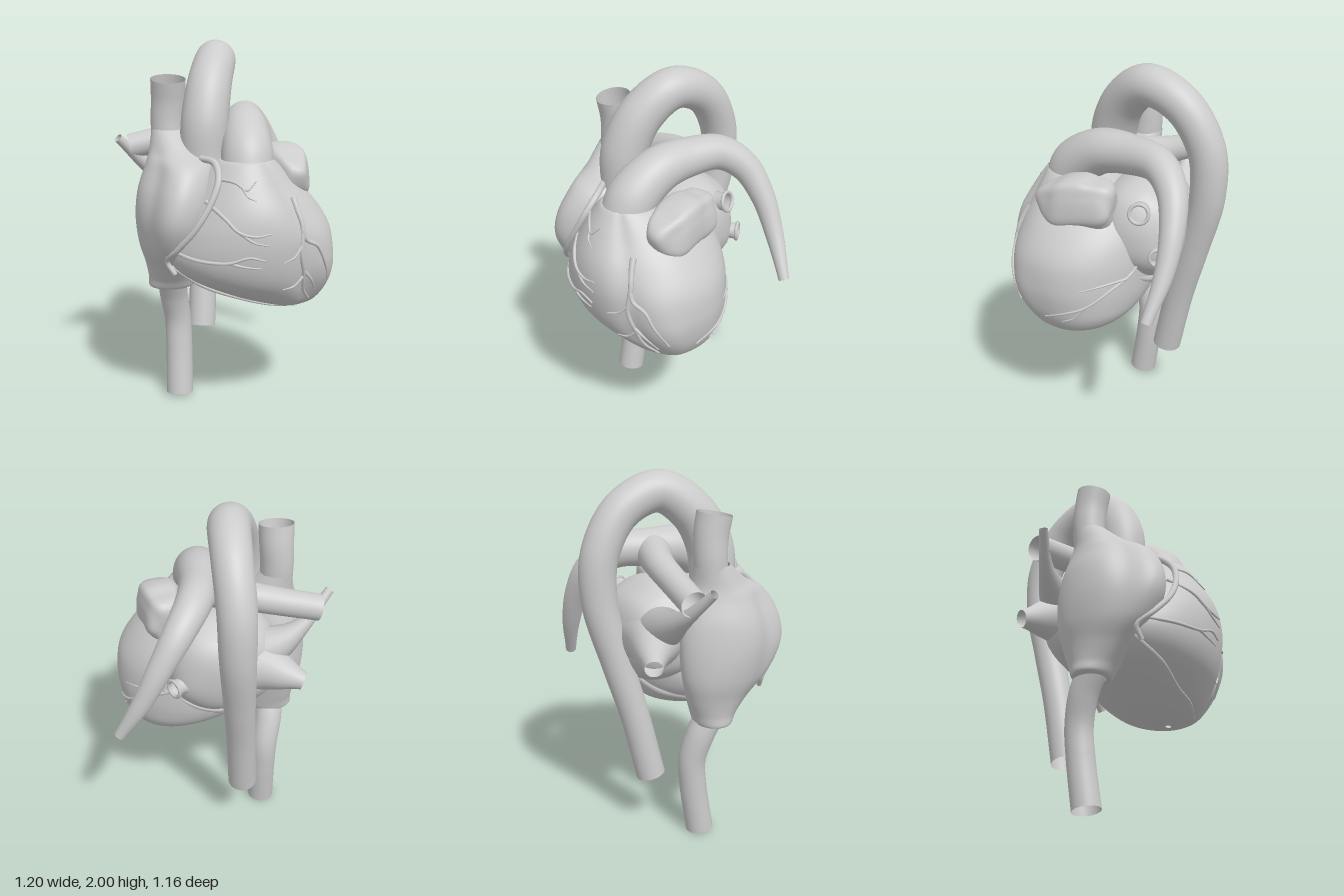
import * as THREE from 'three';

const mat = new THREE.MeshStandardMaterial({ color: 0xcccccc, side: THREE.DoubleSide });
const V = (x, y, z) => new THREE.Vector3(x, y, z);

// smooth interpolation through rows of numbers, t in 0..1
function sample(rows, t) {
  const f = Math.min(Math.max(t, 0), 1) * (rows.length - 1);
  const i = Math.min(Math.floor(f), rows.length - 2), k = f - i;
  const at = j => rows[Math.min(Math.max(j, 0), rows.length - 1)];
  return rows[0].map((_, c) => {
    const a = at(i - 1)[c], b = at(i)[c], d = at(i + 1)[c], e = at(i + 2)[c];
    return b + 0.5 * k * (d - a + k * (2 * a - 5 * b + 4 * d - e + k * (3 * (b - d) + e - a)));
  });
}

// point on an elliptical section [y, xMin, xMax, zMin, zMax]
function sectionPoint([y, x0, x1, z0, z1], angle, scale = 1) {
  return V((x0 + x1) / 2 + (x1 - x0) / 2 * Math.cos(angle) * scale, y,
    (z0 + z1) / 2 + (z1 - z0) / 2 * Math.sin(angle) * scale);
}

// skin over sections listed from bottom to top
function loft(rows, scaleAt, rings = 80, sides = 96) {
  const pos = [], index = [];
  for (let i = 0; i <= rings; i++) {
    const row = sample(rows, i / rings);
    for (let j = 0; j < sides; j++) {
      const a = j / sides * Math.PI * 2;
      pos.push(...sectionPoint(row, a, scaleAt(a, row[0])).toArray());
      if (i === rings) continue;
      const p = i * sides + j, q = i * sides + (j + 1) % sides;
      index.push(p, p + sides, q, q, p + sides, q + sides);
    }
  }
  const g = new THREE.BufferGeometry();
  g.setAttribute('position', new THREE.Float32BufferAttribute(pos, 3));
  g.setIndex(index);
  g.computeVertexNormals();
  return g;
}

// open tube through [x, y, z, radius] points
function vessel(points, seg = 64, sides = 32) {
  const curve = new THREE.CatmullRomCurve3(points.map(p => V(p[0], p[1], p[2])));
  const g = new THREE.TubeGeometry(curve, seg, 1, sides);
  const pos = g.attributes.position, v = V(0, 0, 0);
  const radii = points.map(p => [p[3]]);
  for (let i = 0; i <= seg; i++) {
    const c = curve.getPointAt(i / seg);
    const r = sample(radii, curve.getUtoTmapping(i / seg))[0];
    for (let j = 0; j <= sides; j++) {
      const n = i * (sides + 1) + j;
      v.fromBufferAttribute(pos, n).sub(c).multiplyScalar(r).add(c);
      pos.setXYZ(n, v.x, v.y, v.z);
    }
  }
  g.computeBoundingSphere();
  return g;
}

// squarish ellipsoid with soft lumps
function blob(radii, lump, squareness) {
  const g = new THREE.SphereGeometry(1, 48, 32);
  const pos = g.attributes.position, v = V(0, 0, 0);
  const sq = n => Math.sign(n) * Math.pow(Math.abs(n), squareness);
  for (let i = 0; i < pos.count; i++) {
    v.fromBufferAttribute(pos, i);
    const s = 1 + lump * Math.sin(5 * v.x + 1) * Math.sin(6 * v.y) + lump * Math.sin(7 * v.z + 2 * v.y);
    pos.setXYZ(i, radii[0] * s * sq(v.x), radii[1] * s * sq(v.y), radii[2] * s * sq(v.z));
  }
  g.computeVertexNormals();
  return g;
}

const VENTRICLES = [
  [0.595, 0.27, 0.31, 0.16, 0.19], [0.605, 0.17, 0.385, 0.06, 0.28], [0.64, 0.04, 0.445, -0.06, 0.37],
  [0.71, -0.15, 0.49, -0.15, 0.45], [0.8, -0.32, 0.515, -0.2, 0.52], [0.91, -0.39, 0.525, -0.22, 0.56],
  [1.05, -0.36, 0.505, -0.22, 0.575], [1.18, -0.29, 0.425, -0.2, 0.555], [1.31, -0.21, 0.3, -0.12, 0.49],
  [1.4, -0.12, 0.2, 0.08, 0.43], [1.42, -0.08, 0.17, 0.14, 0.41]];
const bell = (x, mid, width) => Math.exp(-(((x - mid) / width) ** 2));
// groove between the two ventricles, and the swell of the left one beside it
const ventricleShape = (a, y) => 1 + 0.085 * bell(a, 0.62, 0.3) * bell(y, 0.8, 0.22)
  - 0.05 * bell(a, 1.03, 0.17) * Math.min(1, Math.max(0, (y - 0.6) * 6))
  - 0.05 * bell(a, 0.8, 0.3) * bell(y, 1.2, 0.13);
// flattened outer front corner and soft lumps
const atriumShape = (a, y) => 1 + (0.012 * Math.sin(5 * a + 9 * y)
  - (0.16 + 0.12 * bell(y, 1.38, 0.13)) * bell(a, 2.5, 0.45)) * Math.max(0, Math.sin((y - 0.68) / 0.87 * Math.PI));

function rowAtHeight(y) {
  let lo = 0, hi = 1;
  for (let i = 0; i < 30; i++) {
    const m = (lo + hi) / 2;
    if (sample(VENTRICLES, m)[0] < y) lo = m; else hi = m;
  }
  return sample(VENTRICLES, lo);
}

// artery lying on the ventricles, from [across, y]; across is x on the front, z on the side
function surfaceArtery(path, r, side) {
  const points = path.map(([u, y], i) => {
    const row = rowAtHeight(y), [lo, hi] = side ? [row[3], row[4]] : [row[1], row[2]];
    const n = Math.min(Math.max((2 * u - lo - hi) / (hi - lo), -0.99), 0.99);
    const a = side ? Math.asin(n) : Math.acos(n);
    const p = sectionPoint(row, a, ventricleShape(a, y) + 0.01);
    return [p.x, p.y, p.z, r * (1 - 0.6 * i / (path.length - 1))];
  });
  return vessel(points, 40, 8);
}

export function createModel() {
  const heart = new THREE.Group();
  heart.name = 'heart';
  const add = (name, geometry, parent = heart) => {
    const m = new THREE.Mesh(geometry, mat);
    m.name = name;
    parent.add(m);
    return m;
  };

  // chambers
  add('ventricles', loft(VENTRICLES, ventricleShape));
  add('rightAtrium', loft([
    [0.68, -0.4, -0.25, -0.05, 0.1], [0.682, -0.45, -0.21, -0.07, 0.13], [0.74, -0.455, -0.2, -0.09, 0.17],
    [0.83, -0.475, -0.2, -0.12, 0.25], [0.95, -0.51, -0.19, -0.15, 0.37], [1.1, -0.525, -0.15, -0.16, 0.445],
    [1.25, -0.51, -0.11, -0.15, 0.43], [1.38, -0.465, -0.11, -0.12, 0.35], [1.45, -0.44, -0.17, -0.09, 0.23],
    [1.55, -0.42, -0.25, -0.085, 0.11]], atriumShape));
  add('leftAtrium', blob([0.3, 0.28, 0.25], 0.015, 0.85)).position.set(-0.01, 1.15, -0.14);
  const auricle = add('leftAuricle', blob([0.115, 0.145, 0.215], 0.045, 0.75));
  auricle.position.set(0.275, 1.32, 0.125);
  auricle.rotation.set(0.15, 0.08, 0);

  // great vessels
  add('aorta', vessel([
    [-0.14, 1.22, 0.12, 0.11], [-0.16, 1.42, 0.125, 0.12], [-0.15, 1.6, 0.115, 0.125], [-0.11, 1.78, 0.03, 0.118],
    [-0.05, 1.89, -0.13, 0.11], [-0.025, 1.81, -0.33, 0.103], [-0.025, 1.6, -0.46, 0.1], [-0.03, 1.35, -0.475, 0.095],
    [-0.06, 1, -0.395, 0.085], [-0.09, 0.7, -0.315, 0.08], [-0.12, 0.33, -0.235, 0.08]], 110, 40));
  add('pulmonaryTrunk', vessel([
    [0.04, 1.34, 0.29, 0.135], [0.05, 1.44, 0.245, 0.135], [0.07, 1.54, 0.09, 0.122], [0.1, 1.56, -0.1, 0.105],
    [0.16, 1.55, -0.275, 0.092], [0.25, 1.46, -0.385, 0.08], [0.35, 1.3, -0.43, 0.065], [0.45, 1.1, -0.43, 0.05],
    [0.57, 0.88, -0.39, 0.03]], 90, 40));
  add('rightPulmonaryArtery', vessel([
    [0.08, 1.55, -0.1, 0.1], [-0.1, 1.52, -0.16, 0.08], [-0.3, 1.47, -0.18, 0.073], [-0.52, 1.42, -0.2, 0.07]]));
  add('superiorVenaCava', vessel([
    [-0.335, 1.5, 0.01, 0.088], [-0.335, 1.6, 0.005, 0.088], [-0.33, 1.7, 0.01, 0.09], [-0.33, 1.81, 0.03, 0.093]]));
  add('inferiorVenaCava', vessel([
    [-0.285, 0.01, -0.015, 0.076], [-0.28, 0.28, -0.055, 0.075], [-0.285, 0.45, -0.065, 0.075],
    [-0.31, 0.6, -0.03, 0.078], [-0.325, 0.72, 0.025, 0.08]]));

  // veins entering the left atrium; the left pair end in a rim
  const veins = new THREE.Group();
  veins.name = 'pulmonaryVeins';
  heart.add(veins);
  [
    [[-0.05, 1.14, -0.2, 0.21], [-0.2, 1.14, -0.25, 0.16], [-0.31, 1.11, -0.315, 0.095], [-0.41, 1.08, -0.365, 0.048]],
    [[-0.08, 1.2, -0.18, 0.18], [-0.26, 1.23, -0.22, 0.115], [-0.43, 1.32, -0.2, 0.045], [-0.59, 1.48, -0.13, 0.024]],
    [[0.12, 1.27, -0.17, 0.11], [0.2, 1.3, -0.195, 0.07], [0.24, 1.31, -0.21, 0.05], [0.28, 1.32, -0.22, 0.05]],
    [[0.1, 1.1, -0.22, 0.11], [0.19, 1.09, -0.28, 0.07], [0.23, 1.09, -0.3, 0.045], [0.27, 1.09, -0.325, 0.045]],
  ].forEach((path, i) => {
    add('vein' + (i + 1), vessel(path, 32, 24), veins);
    if (i < 2) return;
    const [a, b] = path.slice(-2).map(p => V(p[0], p[1], p[2]));
    const rim = add('veinRim' + (i + 1), new THREE.TorusGeometry(path[3][3], 0.01, 8, 24), veins);
    rim.position.copy(b);
    rim.quaternion.setFromUnitVectors(V(0, 0, 1), b.sub(a).normalize());
  });

  // coronary vessels
  const coronary = new THREE.Group();
  coronary.name = 'coronaryVessels';
  heart.add(coronary);
  add('coronarySinus', vessel([
    [0.3, 0.97, -0.16, 0.012], [0.1, 0.86, -0.205, 0.02], [-0.08, 0.81, -0.155, 0.028], [-0.22, 0.8, -0.04, 0.03]], 40, 12), coronary);
  add('rightCoronary', vessel([
    [-0.19, 1.42, 0.24, 0.017], [-0.135, 1.41, 0.33, 0.018], [-0.13, 1.34, 0.41, 0.018], [-0.18, 1.22, 0.45, 0.017],
    [-0.26, 1.09, 0.45, 0.016], [-0.34, 0.98, 0.395, 0.015], [-0.385, 0.9, 0.315, 0.014], [-0.345, 0.83, 0.325, 0.013]], 60, 10), coronary);
  [
    [[[-0.35, 0.86], [-0.2, 0.77], [0, 0.69], [0.15, 0.65], [0.3, 0.62]], 0.013],
    [[[-0.36, 0.96], [-0.25, 0.94], [-0.1, 0.94], [0, 0.97], [0.08, 0.95]], 0.012],
    [[[-0.1, 0.94], [-0.02, 0.92], [0.06, 0.91]], 0.008],
    [[[-0.19, 1.23], [-0.11, 1.16], [-0.05, 1.1], [0.03, 1.08], [0.11, 1.09]], 0.012],
    [[[-0.05, 1.1], [0.02, 1.05], [0.1, 1.03]], 0.008],
    [[[-0.12, 1.34], [-0.05, 1.33], [0, 1.3], [0.05, 1.34]], 0.01],
    [[[-0.02, 1.31], [0.0, 1.27], [0.04, 1.25]], 0.007],
    [[[0.26, 1.24], [0.28, 1.18], [0.3, 1.1], [0.29, 0.96], [0.31, 0.85], [0.32, 0.74], [0.36, 0.67]], 0.017],
    [[[0.3, 1.08], [0.32, 1.03], [0.37, 0.99], [0.4, 0.9], [0.43, 0.78]], 0.014],
    [[[0.31, 0.86], [0.35, 0.8], [0.38, 0.72]], 0.011],
    [[[0.29, 1.0], [0.24, 0.95], [0.18, 0.93]], 0.009],
    [[[0.31, 0.83], [0.25, 0.78], [0.19, 0.77]], 0.008],
    [[[-0.07, 1.26], [-0.17, 1.14], [-0.19, 1], [-0.1, 0.9], [0, 0.82], [0.1, 0.78], [0.22, 0.73]], 0.012, true],
    [[[-0.16, 0.95], [-0.06, 0.94], [0.02, 0.92]], 0.008, true],
    [[[0, 0.82], [0.06, 0.75], [0.12, 0.72]], 0.008, true],
  ].forEach(([path, r, side], i) => add('coronaryBranch' + (i + 1), surfaceArtery(path, r, side), coronary));

  return heart;
}
